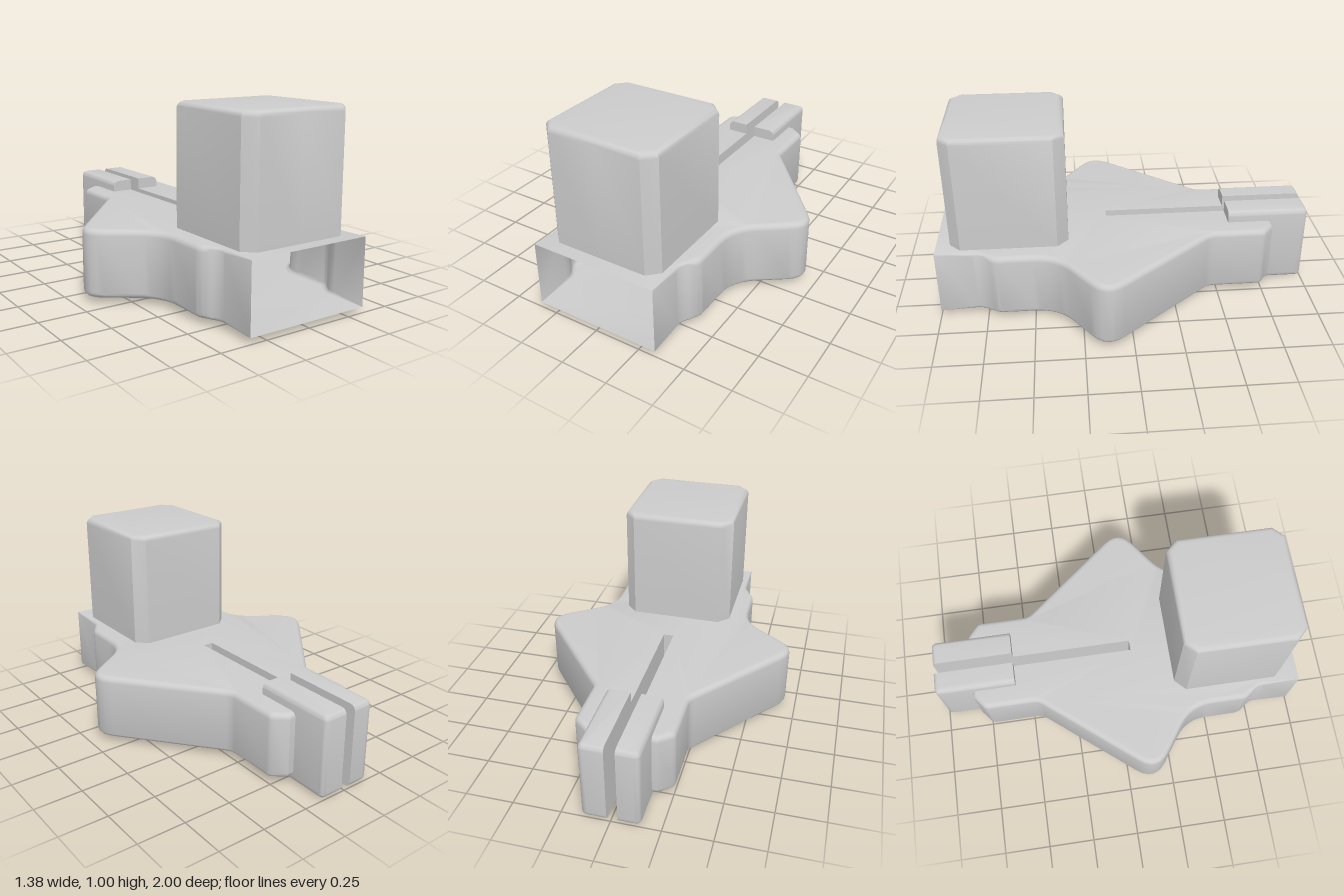
import * as THREE from 'three';
import { toCreasedNormals } from 'three/addons/utils/BufferGeometryUtils.js';

const material = new THREE.MeshStandardMaterial({ color: 0xcccccc, side: THREE.DoubleSide });

// Outline points are { x, z, r: edge rounding, f: corner fillet, d: fixed inset direction }
const pt = (x, z, r = 0, f = 0, d = null) => ({ x, z, r, f, d });

// Replace each filleted corner by a short curve
function fillet(points) {
  const out = [];
  points.forEach((p, i) => {
    if (!p.f) return out.push(p);
    const toward = (q) => new THREE.Vector2(q.x - p.x, q.z - p.z).setLength(p.f).add(new THREE.Vector2(p.x, p.z));
    const curve = new THREE.QuadraticBezierCurve(
      toward(points[i - 1]), new THREE.Vector2(p.x, p.z), toward(points[i + 1]));
    curve.getPoints(6).forEach((c) => out.push(pt(c.x, c.y, p.r)));
  });
  return out;
}

// Inward mitre vector for every outline point
function insets(points) {
  const normal = (a, b) => new THREE.Vector2(a.z - b.z, b.x - a.x).normalize();
  return points.map((p, i) => {
    if (p.d) return new THREE.Vector2(...p.d);
    const n1 = i > 0 ? normal(points[i - 1], p) : null;
    const n2 = i < points.length - 1 ? normal(p, points[i + 1]) : null;
    if (!n1 || !n2) return n1 || n2;
    return n1.clone().add(n2).divideScalar(Math.max(0.4, 1 + n1.dot(n2)));
  });
}

// Upright prism with rounded top and bottom edges; the end strip is optional
function prism(outline, y0, y1, { closed = true, roundBottom = true } = {}) {
  const points = fillet(outline);
  const dirs = insets(points);
  const n = points.length;
  const steps = 5;
  const rings = [];
  const addRing = (a, base, up, round) => rings.push(points.map((p, i) => {
    const r = round ? p.r : 0;
    const k = r * (1 - Math.cos(a));
    return [p.x + dirs[i].x * k, base + up * r * (1 - Math.sin(a)), p.z + dirs[i].y * k];
  }));
  for (let s = 0; s <= steps; s++) addRing(Math.PI / 2 * (1 - s / steps), y0, 1, roundBottom);
  for (let s = 0; s <= steps; s++) addRing(Math.PI / 2 * s / steps, y1, -1, true);

  const pos = [];
  const tri = (a, b, c) => {
    const area = new THREE.Triangle(new THREE.Vector3(...a), new THREE.Vector3(...b), new THREE.Vector3(...c)).getArea();
    if (area > 1e-9) pos.push(...a, ...b, ...c);
  };
  // Walls
  for (let j = 0; j < rings.length - 1; j++) {
    for (let i = 0; i < (closed ? n : n - 1); i++) {
      const k = (i + 1) % n;
      const [a, b, c, d] = [rings[j][i], rings[j + 1][i], rings[j + 1][k], rings[j][k]];
      tri(a, b, c);
      tri(a, c, d);
    }
  }
  // Flat top and bottom
  [[rings[0], -1], [rings[rings.length - 1], 1]].forEach(([ring, up]) => {
    const flat = ring.map((v) => new THREE.Vector2(v[0], v[2]));
    THREE.ShapeUtils.triangulateShape(flat, []).forEach((t) => {
      const [a, b, c] = t.map((i) => ring[i]);
      const ny = (b[2] - a[2]) * (c[0] - a[0]) - (b[0] - a[0]) * (c[2] - a[2]);
      if (ny * up > 0) tri(a, b, c);
      else tri(a, c, b);
    });
  });
  const geometry = new THREE.BufferGeometry();
  geometry.setAttribute('position', new THREE.Float32BufferAttribute(pos, 3));
  return toCreasedNormals(geometry, 0.55);
}

function addPart(group, name, geometry) {
  const mesh = new THREE.Mesh(geometry, material);
  mesh.name = name;
  group.add(mesh);
}

const mirror = (points) => points.map((p) => pt(-p.x, p.z, p.r, p.f, p.d && [-p.d[0], p.d[1]])).reverse();

export function createModel() {
  const group = new THREE.Group();
  group.name = 'model';
  const R = 0.03;
  const slot = [-0.035, 0.02];

  // Hollow body, open at the front, split by a slot from the back
  const side = [
    pt(-0.342, 1), pt(-0.342, 0.77, 0.02, 0.04), pt(-0.403, 0.695, R, 0.03),
    pt(-0.403, 0.38, R, 0.12), pt(-0.735, 0.143, R, 0.125), pt(-0.254, -0.45, R, 0.03),
    pt(-0.254, -0.74, R, 0.02), pt(-0.18, -0.8, R),
  ];
  const slotEdge = [
    pt(slot[0], -0.8, R, 0, [0, 1]), pt(slot[0], 0.1),
    pt(slot[1], 0.1), pt(slot[1], -0.8, R, 0, [0, 1]),
  ];
  addPart(group, 'body', prism([...side, ...slotEdge, ...mirror(side)], 0.03, 0.38, { closed: false }));

  // Upright block with chamfered corners
  const [w, c, z0, z1] = [0.308, 0.058, 0.312, 0.928];
  const block = [
    pt(0, z1, R), pt(-w + c, z1, R), pt(-w, z1 - c, R), pt(-w, z0 + c, R), pt(-w + c, z0, R),
  ];
  addPart(group, 'block', prism([...block, ...mirror(block.slice(1))], 0.38, 1, { roundBottom: false }));

  // Pair of tail plates beside the slot, rounded on their outer and back edges
  const plate = (outer, inner) => [
    pt(outer, -0.56, R), pt(outer, -1, R, 0.03),
    pt(inner, -1, R, 0, [0, 1]), pt(inner, -0.56),
  ].map((p, i) => (i === 0 ? { ...p, d: [1, 0] } : p));
  addPart(group, 'rightTailPlate', prism(plate(-0.15, slot[0]), 0, 0.442));
  addPart(group, 'leftTailPlate', prism(mirror(plate(-0.148, -slot[1])), 0, 0.442));
  return group;
}
